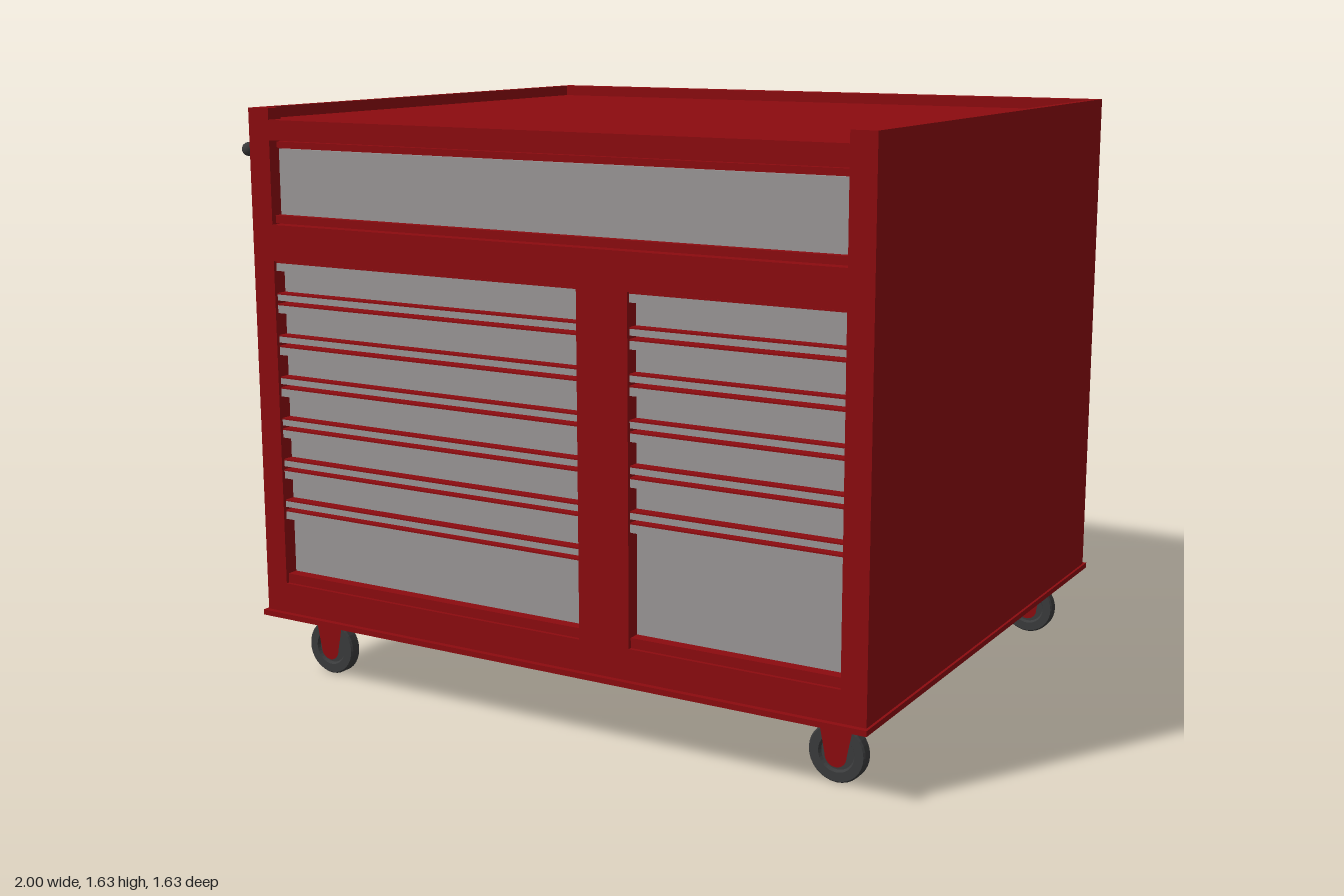
import * as THREE from 'three';

const mat = (name, color, extra = {}) => {
  const m = new THREE.MeshStandardMaterial({ color, ...extra });
  m.name = name;
  return m;
};

export function createModel() {
  const red = mat('redPaint', 0x8c0b0f);
  const redSheet = mat('redPaint', 0x8c0b0f, { side: THREE.DoubleSide });
  const grey = mat('greySteel', 0x9a9797);
  const dark = mat('darkRubber', 0x3a3b3c);

  const root = new THREE.Group();
  root.name = 'toolCabinet';

  const add = (name, geometry, material, parent = root) => {
    const mesh = new THREE.Mesh(geometry, material);
    mesh.name = name;
    parent.add(mesh);
    return mesh;
  };
  // Box given by its two extreme corners
  const box = (name, material, x0, x1, y0, y1, z0, z1, parent) => {
    const g = new THREE.BoxGeometry(x1 - x0, y1 - y0, z1 - z0);
    g.translate((x0 + x1) / 2, (y0 + y1) / 2, (z0 + z1) / 2);
    return add(name, g, material, parent);
  };
  const rect = (P, x0, x1, y0, y1) => {
    const p = new P();
    p.moveTo(x0, y0);
    p.lineTo(x1, y0);
    p.lineTo(x1, y1);
    p.lineTo(x0, y1);
    p.closePath();
    return p;
  };
  // Flat frame with rectangular openings
  const frame = (name, outer, holes, z0, z1) => {
    const s = rect(THREE.Shape, ...outer);
    holes.forEach(h => s.holes.push(rect(THREE.Path, ...h)));
    const g = new THREE.ExtrudeGeometry(s, { depth: z1 - z0, bevelEnabled: false });
    g.translate(0, 0, z0);
    add(name, g, red);
  };

  const L = -0.88, R = 0.99, B = 0.205, DECK = 1.595, TOP = 1.626, D = 0.8, F = 0.75;

  // Cabinet shell
  box('basePlate', red, L - 0.007, R + 0.007, 0.19, B, -0.815, 0.815);
  box('cabinetBody', red, L, R, B, DECK, -F, F);
  const topBay = [-0.81, 0.92, 1.31, 1.54];
  const leftBay = [-0.81, 0.175, 0.29, 1.21];
  const rightBay = [0.325, 0.92, 0.29, 1.21];
  frame('frontFrame', [L, R, B, DECK], [topBay, leftBay, rightBay], F, D);
  frame('backFrame', [L, R, B, TOP], [[L + 0.035, R - 0.035, B + 0.04, TOP - 0.075]], -D, -F);

  // Raised rim around three sides of the top, with front corner blocks
  box('leftRim', red, R - 0.022, R, DECK, TOP, -F, F);
  box('rightRim', red, L, L + 0.022, DECK, TOP, -F, F);
  box('cornerBlock', red, L, L + 0.07, DECK, TOP, F, D);
  box('cornerBlock', red, R - 0.07, R, DECK, TOP, F, D);

  // Wide top drawer
  const wide = new THREE.Group();
  wide.name = 'topDrawer';
  root.add(wide);
  box('drawerFace', grey, topBay[0], topBay[1], 1.335, 1.515, F - 0.01, F + 0.012, wide);
  box('drawerSill', red, topBay[0], topBay[1], 1.313, 1.335, F - 0.01, F + 0.035, wide);
  box('drawerHeader', red, topBay[0], topBay[1], 1.518, 1.535, F - 0.01, F + 0.02, wide);

  // Drawer: recessed face, pull lip on top, grey strip or red sill at the bottom
  const drawer = (x0, x1, y0, y1, last) => {
    const g = new THREE.Group();
    g.name = 'drawer';
    root.add(g);
    const z0 = F - 0.01, face = F + 0.008, lip = F + 0.04;
    const ledge = (name, a, b) => {
      box(name, grey, x0, x1, a, b - 0.004, z0, lip, g);
      box(name + 'Top', red, x0, x1, b - 0.004, b, z0, lip, g);
    };
    box('drawerFace', grey, x0, x1, y0, y1 - 0.03, z0, face, g);
    ledge('drawerPull', y1 - 0.028, y1 - 0.002);
    if (last) box('drawerSill', red, x0, x1, y0, y0 + 0.027, z0, lip, g);
    else ledge('drawerStrip', y0 + 0.007, y0 + 0.028);
  };
  const column = (bay, small) => {
    const [x0, x1, bottom, top] = bay, pitch = 0.1175;
    for (let i = 0; i < small; i++) drawer(x0, x1, top - (i + 1) * pitch, top - i * pitch, false);
    drawer(x0, x1, bottom, top - small * pitch, true);
  };
  column(leftBay, 6);
  column(rightBay, 5);

  // Push handle on the right side
  const handle = new THREE.Group();
  handle.name = 'pushHandle';
  root.add(handle);
  const bar = new THREE.CapsuleGeometry(0.02, 1.395, 6, 16);
  bar.rotateX(Math.PI / 2);
  bar.translate(-0.98, 1.503, -0.005);
  add('handleBar', bar, dark, handle);
  const arm = new THREE.Shape([
    [L, 1.455], [L, 1.55], [-0.945, 1.536], [-0.975, 1.515], [-0.975, 1.49], [-0.945, 1.472],
  ].map(p => new THREE.Vector2(...p)));
  for (const z of [-0.62, 0.63]) {
    const g = new THREE.ExtrudeGeometry(arm, { depth: 0.01, bevelEnabled: false });
    g.translate(0, 0, z - 0.005);
    add('handleBracket', g, dark, handle);
  }

  // Casters: dished wheel between two thin tapered fork plates
  const wheelProfile = [
    [0, -0.01], [0.045, -0.01], [0.05, -0.018], [0.074, -0.018], [0.078, -0.013],
    [0.078, 0.013], [0.074, 0.018], [0.05, 0.018], [0.045, 0.01], [0, 0.01],
  ].map(p => new THREE.Vector2(...p));
  const wheelGeo = new THREE.LatheGeometry(wheelProfile, 32).toNonIndexed();
  wheelGeo.computeVertexNormals();
  wheelGeo.rotateX(Math.PI / 2);
  const fork = new THREE.Shape();
  fork.moveTo(-0.054, 0.112);
  fork.lineTo(-0.03, -0.005);
  fork.absarc(0, -0.005, 0.03, Math.PI, Math.PI * 2, false);
  fork.lineTo(0.054, 0.112);
  fork.closePath();
  const forkGeo = new THREE.ShapeGeometry(fork);
  for (const x of [-0.75, 0.86]) for (const z of [-0.697, 0.672]) {
    const caster = new THREE.Group();
    caster.name = 'caster';
    caster.position.set(x, 0.078, z);
    root.add(caster);
    add('wheel', wheelGeo, dark, caster);
    for (const s of [-1, 1]) add('forkPlate', forkGeo, redSheet, caster).position.z = s * 0.022;
  }
  return root;
}
